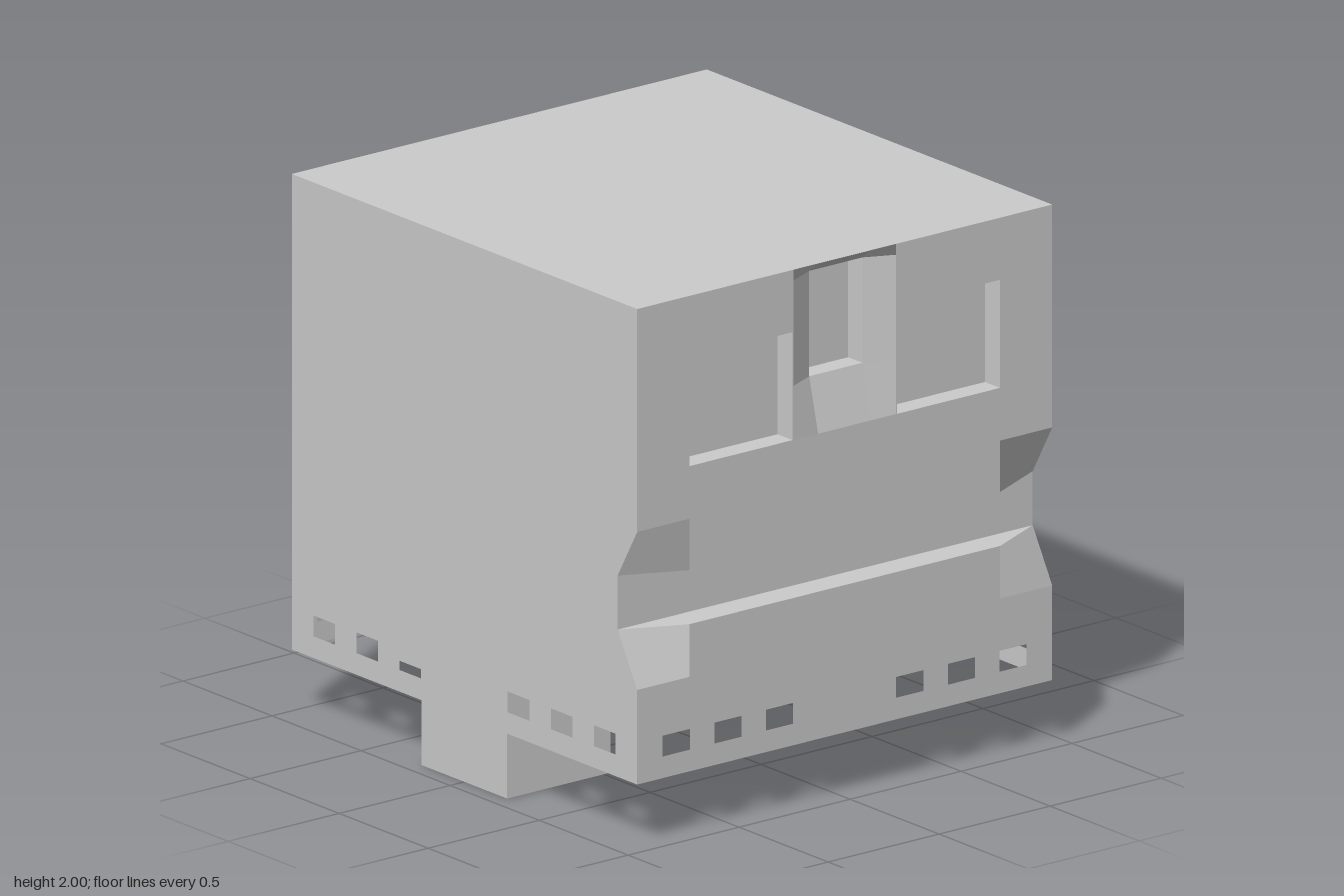
import * as THREE from 'three';
import { mergeGeometries } from 'three/addons/utils/BufferGeometryUtils.js';

const X = 0.97, Z = 0.935, TOP = 2, BOTTOM = 0.24, CEILING = 0.4;
const GROOVE_X = 0.86, G0 = 0.785, G1 = 0.985, F0 = 0.59, F1 = 1.175, FLARE_Z = 0.7;

const material = new THREE.MeshStandardMaterial({ color: 0xcccccc, side: THREE.DoubleSide });

// One four-cornered facet with a single normal
function quad(...corners) {
  const [a, b, c, d] = corners.map((p) => new THREE.Vector3(...p));
  const n = c.clone().sub(a).cross(d.clone().sub(b)).normalize();
  const g = new THREE.BufferGeometry().setFromPoints([a, b, c, d]);
  g.setAttribute('normal', new THREE.Float32BufferAttribute([n, n, n, n].flatMap((v) => v.toArray()), 3));
  g.setIndex([0, 1, 2, 0, 2, 3]);
  return g;
}

const rect = (u0, u1, v0, v1) => [[u0, v0], [u1, v0], [u1, v1], [u0, v1]];

// Flat wall with holes, drawn in its own plane and turned to face outward
function wall(points, holes, turn, offset) {
  const toVectors = (list) => list.map((p) => new THREE.Vector2(...p));
  const shape = new THREE.Shape(toVectors(points));
  for (const h of holes) shape.holes.push(new THREE.Path(toVectors(h).reverse()));
  return new THREE.ShapeGeometry(shape).translate(0, 0, offset).rotateY(turn);
}

// Three small openings on each half of a skirt
function skirtHoles(starts, width) {
  return starts.flatMap((s) => [rect(s, s + width, 0.32, 0.397), rect(-s - width, -s, 0.32, 0.397)]);
}

// Rectangular pocket sunk into the detailed side
function pocket(z0, z1, y0, y1, outer, inner) {
  const ring = [[y0, z1], [y0, z0], [y1, z0], [y1, z1]];
  const faces = [quad(...ring.map(([y, z]) => [inner, y, z]))];
  ring.forEach(([y, z], i) => {
    const [y2, z2] = ring[(i + 1) % 4];
    faces.push(quad([outer, y, z], [outer, y2, z2], [inner, y2, z2], [inner, y, z]));
  });
  return mergeGeometries(faces);
}

export function createModel() {
  const group = new THREE.Group();
  const add = (name, geometry) => {
    const mesh = new THREE.Mesh(geometry, material);
    mesh.name = name;
    group.add(mesh);
  };
  const box = (name, x0, x1, y0, y1, z0, z1) => add(name,
    new THREE.BoxGeometry(x1 - x0, y1 - y0, z1 - z0).translate((x0 + x1) / 2, (y0 + y1) / 2, (z0 + z1) / 2));

  // Front and back walls, notched where the groove runs out
  const xHoles = skirtHoles([0.243, 0.485, 0.727], 0.121);
  const zHoles = skirtHoles([0.232, 0.465, 0.698], 0.122);
  const notched = [[-X, BOTTOM], [X, BOTTOM], [X, F0], [GROOVE_X, G0], [GROOVE_X, G1], [X, F1], [X, TOP], [-X, TOP]];
  add('frontWall', wall(notched, xHoles, 0, Z));
  add('backWall', wall(notched.map(([u, v]) => [-u, v]).reverse(), xHoles, Math.PI, Z));

  // Plain side, roof and the ceiling of the hollow underside
  add('plainSideWall', wall(rect(-Z, Z, BOTTOM, TOP), zHoles, -Math.PI / 2, X));
  add('roof', quad([-X, TOP, Z], [X, TOP, Z], [X, TOP, -Z], [-X, TOP, -Z]));
  add('undersideCeiling', quad([-X, CEILING, -Z], [X, CEILING, -Z], [X, CEILING, Z], [-X, CEILING, Z]));

  // Detailed side, below and above the groove
  add('lowerSidePanel', wall([[-Z, BOTTOM], [Z, BOTTOM], [Z, F0], [FLARE_Z, F0], [FLARE_Z, G0],
    [-FLARE_Z, G0], [-FLARE_Z, F0], [-Z, F0]], zHoles, Math.PI / 2, X));
  const windows = [rect(0.235, 0.7, 1.37, 1.77), rect(-0.7, -0.235, 1.37, 1.77)];
  add('upperSidePanel', wall([[-Z, F1], [-FLARE_Z, F1], [-FLARE_Z, G1], [FLARE_Z, G1], [FLARE_Z, F1], [Z, F1],
    [Z, TOP], [0.23, TOP], [0.23, 1.37], [-0.23, 1.37], [-0.23, TOP], [-Z, TOP]], windows, Math.PI / 2, X));

  // Groove with flared ends
  add('grooveBack', quad([GROOVE_X, G0, Z], [GROOVE_X, G0, -Z], [GROOVE_X, G1, -Z], [GROOVE_X, G1, Z]));
  for (const [inner, outer] of [[G0, F0], [G1, F1]]) {
    add('grooveShelf', quad([GROOVE_X, inner, Z], [X, inner, FLARE_Z], [X, inner, -FLARE_Z], [GROOVE_X, inner, -Z]));
    for (const s of [1, -1]) {
      add('grooveFlare', quad([X, inner, s * FLARE_Z], [GROOVE_X, inner, s * Z], [X, outer, s * Z], [X, outer, s * FLARE_Z]));
    }
  }

  // Square pockets either side of a dished slot
  for (const z of [-0.7, 0.235]) add('squarePocket', pocket(z, z + 0.465, 1.37, 1.77, X, X - 0.085));
  add('slotPocket', pocket(-0.12, 0.12, 1.57, 1.96, 0.92, 0.84));
  const zs = [0.23, 0.12, -0.12, -0.23], ys = [1.37, 1.57, 1.96, TOP];
  const dish = (i, j) => [i % 3 && j % 3 ? 0.92 : X, ys[j], zs[i]];
  for (let i = 0; i < 3; i++) {
    for (let j = 0; j < 3; j++) {
      if (i === 1 && j === 1) continue;
      add('slotSlope', quad(dish(i, j), dish(i + 1, j), dish(i + 1, j + 1), dish(i, j + 1)));
    }
  }

  // Front foot with a small notch at its rear
  box('footBase', -0.24, 0.24, 0, 0.23, 0.47, Z);
  box('footUpper', -0.24, 0.24, 0.23, CEILING, 0.55, Z);
  for (const x of [-0.24, 0.12]) box('footCheek', x, x + 0.12, 0.23, CEILING, 0.47, 0.55);

  // Angled rail beneath, running from the foot to the rear
  const rail = new THREE.Shape([[-0.73, -0.7], [-0.24, -0.7], [-0.24, -0.47], [-0.49, -0.47], [-0.49, 0.7], [-0.73, 0.7]]
    .map((p) => new THREE.Vector2(...p)));
  add('undersideRail', new THREE.ExtrudeGeometry(rail, { depth: CEILING - 0.23, bevelEnabled: false })
    .rotateX(-Math.PI / 2).translate(0, 0.23, 0));

  return group;
}
